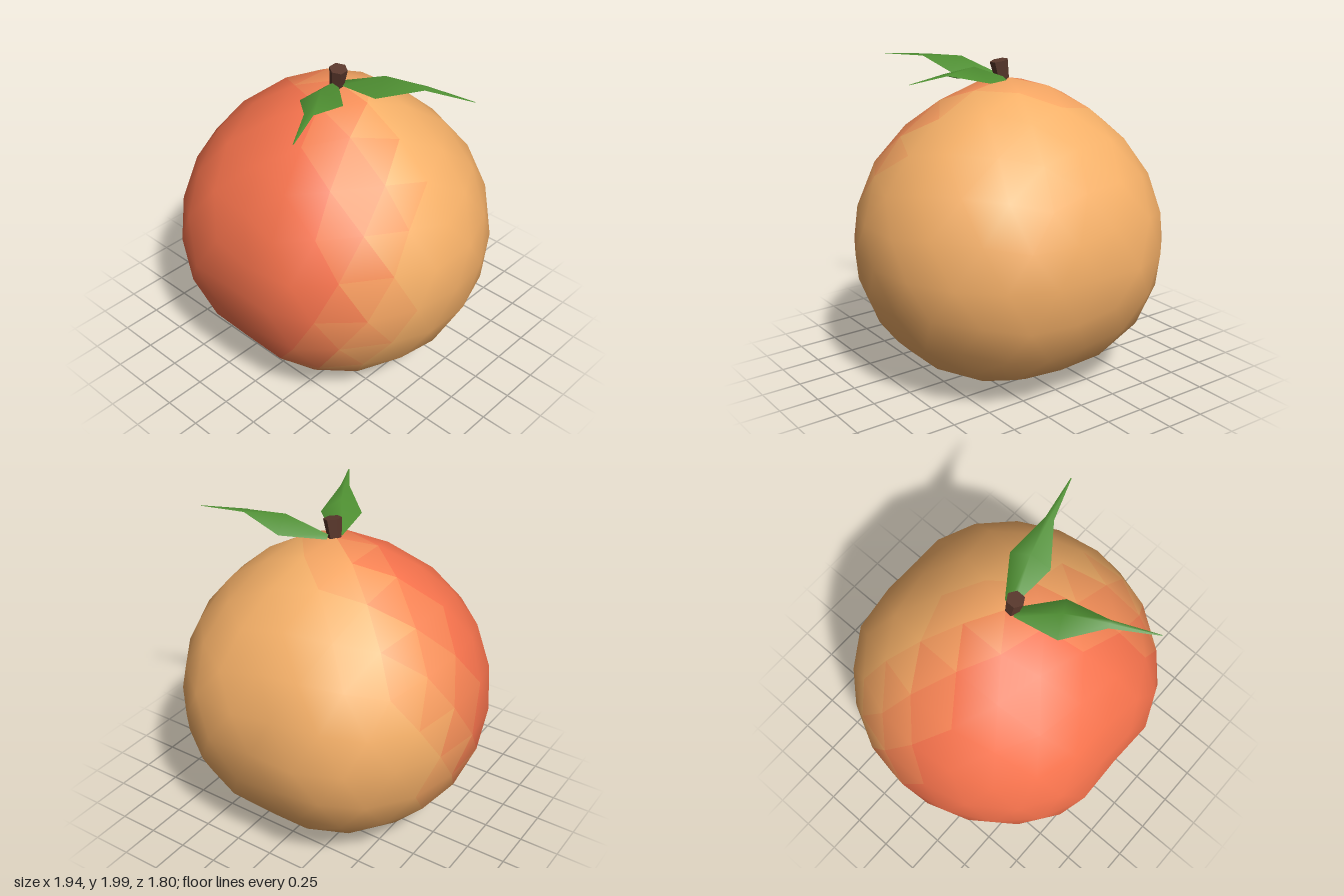
import * as THREE from 'three';
import { mergeVertices } from 'three/addons/utils/BufferGeometryUtils.js';

const material = (color, extra = {}) => new THREE.MeshStandardMaterial({ color, ...extra });

// Icosahedron standing on a corner, halved twice into a unit sphere.
function icosphere(levels) {
  const base = new THREE.IcosahedronGeometry(1, 0);
  base.rotateZ(-Math.atan(2 / (1 + Math.sqrt(5))));
  const p = base.getAttribute('position');
  let corners = [];
  for (let i = 0; i < p.count; i++) corners.push(new THREE.Vector3().fromBufferAttribute(p, i));
  const middle = (a, b) => a.clone().add(b).normalize();
  for (let level = 0; level < levels; level++) {
    const next = [];
    for (let i = 0; i < corners.length; i += 3) {
      const [a, b, c] = corners.slice(i, i + 3);
      const ab = middle(a, b), bc = middle(b, c), ca = middle(c, a);
      next.push(a, ab, ca, ab, b, bc, ca, bc, c, ab, bc, ca);
    }
    corners = next;
  }
  return mergeVertices(new THREE.BufferGeometry().setFromPoints(corners), 1e-4);
}

// Fruit: raised top, flattened bottom, and a shallow cleft on front and back.
function createFruit() {
  const fruit = new THREE.Group();
  fruit.name = 'fruit';
  const geometry = icosphere(2);
  const pos = geometry.getAttribute('position');
  const blushDirection = new THREE.Vector3(-0.4, 0.25, 0.88);
  const blush = [];
  const n = new THREE.Vector3();
  for (let i = 0; i < pos.count; i++) {
    n.fromBufferAttribute(pos, i);
    blush.push(THREE.MathUtils.smoothstep(n.dot(blushDirection), -0.05, 0.55));
    const bulge = n.y ** 6;
    const r = 0.97 * (1 - 0.08 * bulge);
    const x = n.x * r;
    const cleft = 1 - 0.08 * Math.exp(-((x / 0.27) ** 2));
    pos.setXYZ(i, x, 0.867 + 0.94 * n.y + 0.08 * bulge, n.z * r * cleft);
  }
  geometry.computeVertexNormals();

  // Sort the faces into tones, from plain skin to full blush.
  const tones = 6;
  const faces = Array.from({ length: tones }, () => []);
  const index = geometry.getIndex().array;
  for (let i = 0; i < index.length; i += 3) {
    const face = [index[i], index[i + 1], index[i + 2]];
    const amount = face.reduce((sum, v) => sum + blush[v], 0) / 3;
    faces[Math.round(amount * (tones - 1))].push(...face);
  }
  const skin = new THREE.Color(0xf5b068), red = new THREE.Color(0xf5724c);
  faces.forEach((list, t) => {
    const patch = new THREE.BufferGeometry();
    patch.setAttribute('position', pos);
    patch.setAttribute('normal', geometry.getAttribute('normal'));
    patch.setIndex(list);
    const mesh = new THREE.Mesh(patch, material(skin.clone().lerp(red, t / (tones - 1))));
    mesh.name = t === 0 ? 'skin' : `blush${t}`;
    fruit.add(mesh);
  });
  return fruit;
}

// Leaf along +x: left edge, raised midrib and right edge at each section.
function createLeaf(name, angle) {
  // distance, half width, edge height, midrib height
  const sections = [
    [0.05, 0.03, 1.88, 1.90],
    [0.315, 0.125, 1.91, 1.995],
    [0.57, 0.026, 1.98, 1.99],
    [0.86, 0.003, 1.97, 1.972],
  ];
  const points = [], faces = [];
  for (const [x, w, edge, rib] of sections) points.push(x, edge, -w, x, rib, 0, x, edge, w);
  for (let s = 0; s < sections.length - 1; s++) {
    for (let k = 0; k < 2; k++) {
      const a = s * 3 + k, b = a + 1, c = a + 3, d = a + 4;
      faces.push(a, b, c, b, d, c);
    }
  }
  const geometry = new THREE.BufferGeometry();
  geometry.setAttribute('position', new THREE.Float32BufferAttribute(points, 3));
  geometry.setIndex(faces);
  geometry.computeVertexNormals();
  const leaf = new THREE.Mesh(geometry, material(0x4f9032, { side: THREE.DoubleSide }));
  leaf.name = name;
  leaf.rotation.y = angle;
  return leaf;
}

// Short six-sided stem, wider at its tip and leaning slightly.
function createStem() {
  const stem = new THREE.Mesh(
    new THREE.CylinderGeometry(0.055, 0.042, 0.12, 6),
    material(0x5a382c, { flatShading: true }),
  );
  stem.name = 'stem';
  stem.position.set(0.038, 1.932, 0.025);
  stem.rotation.set(0.06, 0, -0.17);
  return stem;
}

export function createModel() {
  const model = new THREE.Group();
  model.name = 'stoneFruit';
  model.add(
    createFruit(),
    createStem(),
    createLeaf('leftLeaf', Math.atan2(0.23, 0.83)),
    createLeaf('frontLeaf', -Math.atan2(0.75, 0.41)),
  );
  return model;
}
